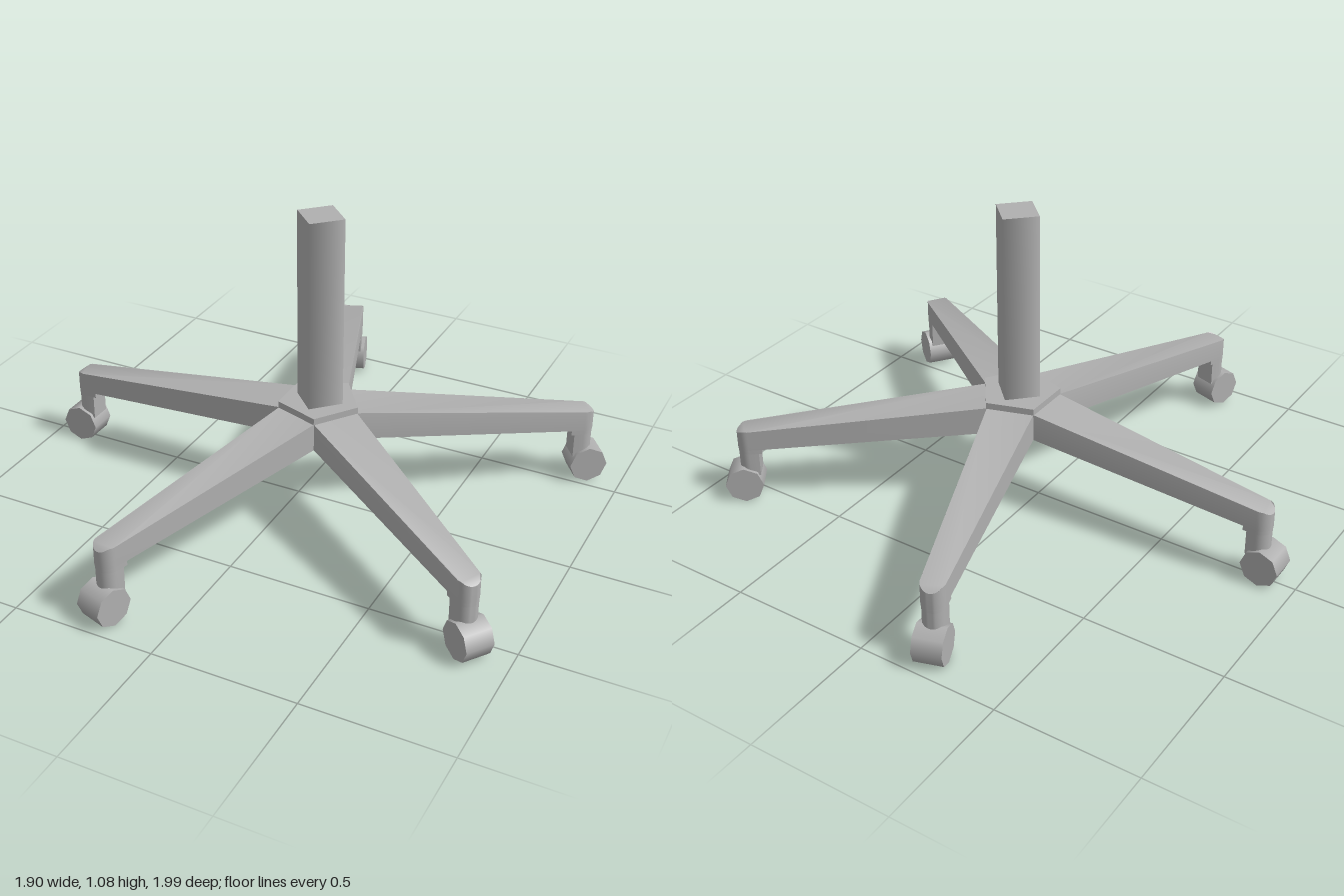
import * as THREE from 'three';
import { toCreasedNormals } from 'three/addons/utils/BufferGeometryUtils.js';

const CENTRE_X = 0.08, HUB_R = 0.14, TIP_R = 0.94, HALF = 0.04;
const HUB_FACE = HUB_R * Math.cos(Math.PI / 5), HUB_HALF = HUB_R * Math.sin(Math.PI / 5);

// Plan outline from an inner edge to a rounded outer end, extruded upward
function roundedPlan(innerR, innerHalf, endHalf, bottom, top) {
  const s = new THREE.Shape();
  s.moveTo(innerR, -innerHalf);
  s.lineTo(TIP_R, -endHalf);
  s.absarc(TIP_R, 0, endHalf, -Math.PI / 2, Math.PI / 2, false);
  s.lineTo(innerR, innerHalf);
  s.closePath();
  const g = new THREE.ExtrudeGeometry(s, { depth: top - bottom, bevelEnabled: false, curveSegments: 8 });
  return g.rotateX(-Math.PI / 2).translate(0, bottom, 0);
}

// Leg: the plan is sheared so top and underside slope down to the tip
function legGeometry() {
  const g = roundedPlan(HUB_FACE, HUB_HALF, HALF + 0.001, 0, 1);
  const p = g.attributes.position;
  for (let i = 0; i < p.count; i++) {
    const t = Math.min((p.getX(i) - HUB_FACE) / (TIP_R - HUB_FACE), 1);
    const droop = Math.max(p.getX(i) - TIP_R - 0.02, 0) * 0.7;
    const y = p.getY(i) > 0.5 ? 0.38 - 0.1 * t - droop : 0.28 - 0.075 * t;
    p.setY(i, y);
  }
  return toCreasedNormals(g, 0.6);
}

export function createModel() {
  const model = new THREE.Group();
  model.name = 'chairBase';
  const grey = new THREE.MeshStandardMaterial({ color: 0xb0b0b0 });
  grey.name = 'grey';

  const add = (parent, name, geometry, x = 0, y = 0) => {
    const mesh = new THREE.Mesh(geometry, grey);
    mesh.name = name;
    mesh.position.set(x, y, 0);
    parent.add(mesh);
    return mesh;
  };
  const pentagon = (r, h) => toCreasedNormals(
    new THREE.CylinderGeometry(r, r, h, 5, 1, false, Math.PI / 2), 0.5);

  // Central hub, collar and smooth four-sided column
  add(model, 'hub', pentagon(HUB_R, 0.1), CENTRE_X, 0.33);
  add(model, 'collar', pentagon(HUB_R + 0.003, 0.025), CENTRE_X, 0.3905);
  add(model, 'column', new THREE.CylinderGeometry(0.086, 0.086, 0.68, 4), CENTRE_X, 0.74);

  // Five legs with caster stems and octagonal wheels
  const leg = legGeometry();
  const stem = toCreasedNormals(roundedPlan(0.907, HALF - 0.003, HALF - 0.001, 0.1, 0.22), 0.6);
  const socket = toCreasedNormals(roundedPlan(0.895, HALF, HALF, 0.19, 0.225), 0.6);
  const wheel = new THREE.CylinderGeometry(0.067, 0.067, 0.1, 8).rotateX(Math.PI / 2);
  for (let i = 0; i < 5; i++) {
    const arm = new THREE.Group();
    arm.name = 'arm' + (i + 1);
    arm.position.x = CENTRE_X;
    arm.rotation.y = Math.PI + i * Math.PI * 2 / 5;
    add(arm, 'leg', leg);
    add(arm, 'casterSocket', socket);
    add(arm, 'casterStem', stem);
    add(arm, 'casterWheel', wheel, 0.965, 0.067);
    model.add(arm);
  }
  return model;
}
